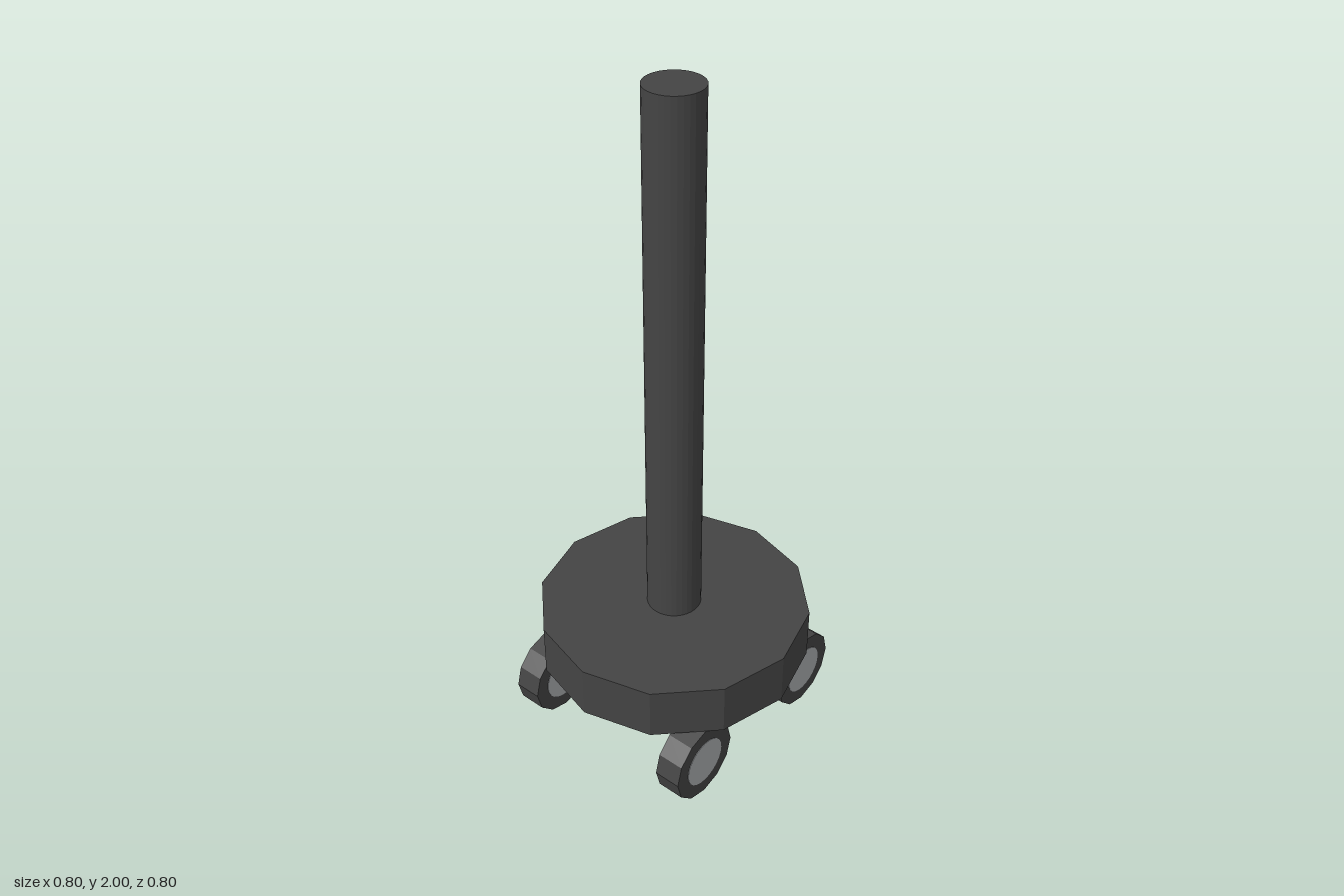
import * as THREE from 'three';

export function createModel() {
  const model = new THREE.Group();
  model.name = 'wheeledStand';

  const darkFlat = new THREE.MeshStandardMaterial({ color: 0x444444, flatShading: true });
  darkFlat.name = 'dark grey';
  const hubGrey = new THREE.MeshStandardMaterial({ color: 0xa8abae });
  hubGrey.name = 'light grey';

  const add = (parent, name, geometry, material, x, y, z) => {
    const mesh = new THREE.Mesh(geometry, material);
    mesh.name = name;
    mesh.position.set(x, y, z);
    parent.add(mesh);
    return mesh;
  };

  // Twelve-sided base and round pole
  add(model, 'base', new THREE.CylinderGeometry(0.4, 0.4, 0.16, 12), darkFlat, 0, 0.32, 0);
  add(model, 'pole', new THREE.CylinderGeometry(0.08, 0.08, 1.6, 32), darkFlat, 0, 1.2, 0);

  // Four wheels, each with a hub showing on both sides
  const tyre = new THREE.CylinderGeometry(0.12, 0.12, 0.08, 12).rotateZ(Math.PI / 2);
  const hub = new THREE.CylinderGeometry(0.075, 0.075, 0.083, 24).rotateZ(Math.PI / 2);
  for (const sx of [-1, 1]) {
    for (const sz of [-1, 1]) {
      const wheel = new THREE.Group();
      wheel.name = (sz > 0 ? 'front' : 'back') + (sx > 0 ? 'Left' : 'Right') + 'Wheel';
      wheel.position.set(sx * 0.272, 0.12, sz * 0.24);
      add(wheel, 'tyre', tyre, darkFlat, 0, 0, 0);
      add(wheel, 'hub', hub, hubGrey, 0, 0, 0);
      model.add(wheel);
    }
  }
  return model;
}
